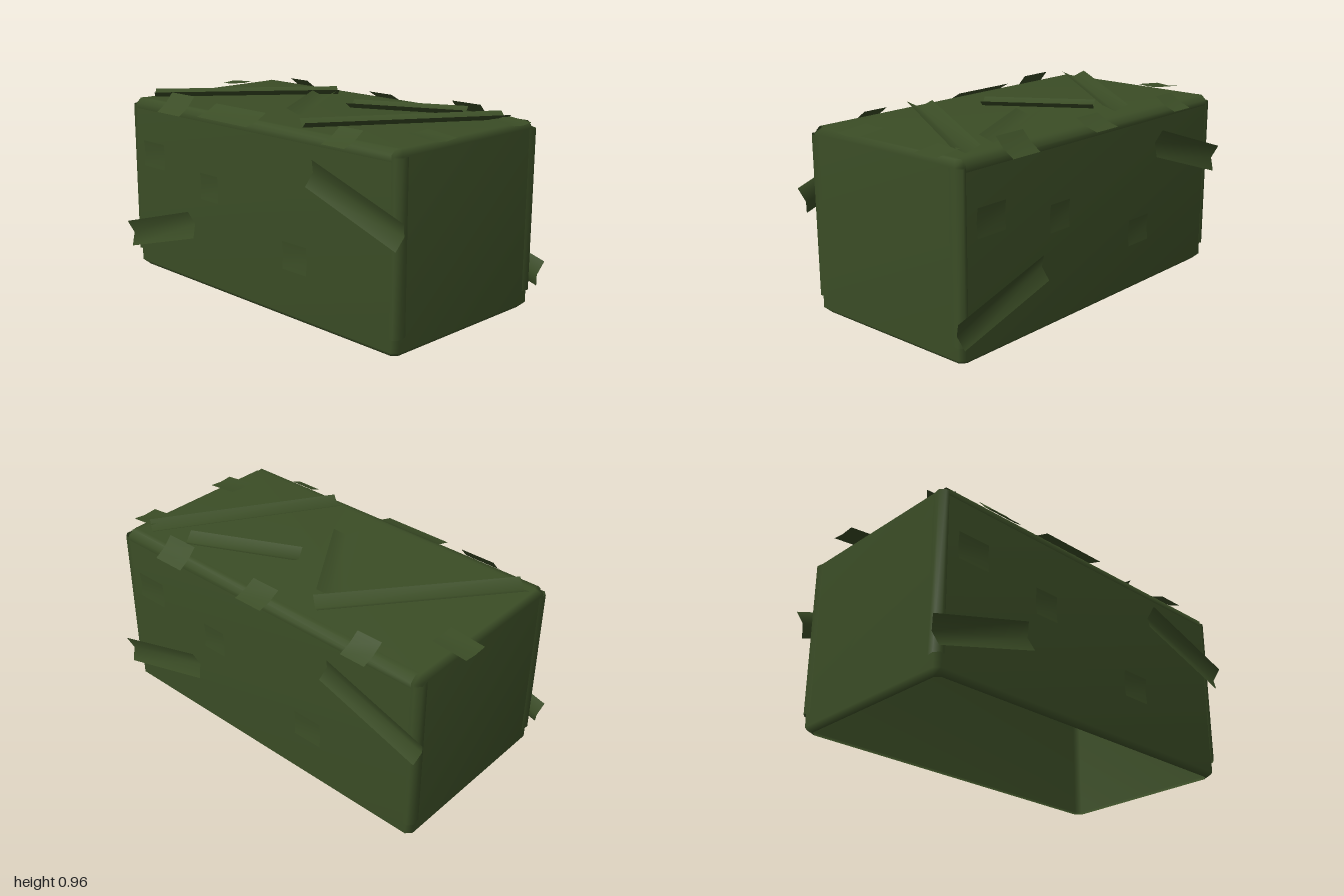
import * as THREE from 'three';

export function createModel() {
  const model = new THREE.Group();
  const leafGreen = new THREE.MeshStandardMaterial({ color: 0x3b4d26, side: THREE.DoubleSide });
  leafGreen.name = 'leafGreen';

  const add = (name, geometry) => {
    const mesh = new THREE.Mesh(geometry, leafGreen);
    mesh.name = name;
    model.add(mesh);
    return mesh;
  };

  // Smooth surface through cross-sections of equal length
  const loft = (rows, closed) => {
    const n = rows[0].length, index = [];
    for (let r = 0; r < rows.length - 1; r++) {
      for (let i = 0; i < (closed ? n : n - 1); i++) {
        const a = r * n + i, b = r * n + (i + 1) % n;
        index.push(a, b, b + n, a, b + n, a + n);
      }
    }
    if (closed) { // lid on the last row
      const s = (rows.length - 1) * n;
      for (let i = 1; i < n - 1; i++) index.push(s, s + i, s + i + 1);
    }
    const g = new THREE.BufferGeometry();
    g.setAttribute('position', new THREE.Float32BufferAttribute(rows.flat(2), 3));
    g.setIndex(index);
    g.computeVertexNormals();
    return g;
  };

  // Bevelled shell, open underneath
  const ring = (y, inset) => {
    const x = 0.935 - inset, z = 0.48 - inset, c = 0.025;
    return [[x, z - c], [x, c - z], [x - c, -z], [c - x, -z],
      [-x, c - z], [-x, z - c], [c - x, z], [x - c, z]].map(([px, pz]) => [px, y, pz]);
  };
  add('shell', loft([ring(0, 0.027), ring(0.027, 0), ring(0.883, 0), ring(0.91, 0.027)], true));

  // Strips wrapped round the upright corners
  for (const sx of [-1, 1]) for (const sz of [-1, 1]) {
    const profile = [[0.938, 0.42], [0.944, 0.462], [0.922, 0.487], [0.9, 0.483]];
    if (sx * sz > 0) profile.reverse();
    add('cornerStrip', loft([0.09, 0.88].map((y) => profile.map(([x, z]) => [sx * x, y, sz * z])), false));
  }

  // Strips along the front and back top edges
  for (const s of [-1, 1]) {
    const profile = [[0.912, 0.43], [0.913, 0.458], [0.888, 0.485], [0.86, 0.482]];
    add('topEdgeStrip', loft([-0.9 * s, 0.9 * s].map((x) => profile.map(([y, z]) => [x, y, s * z])), false));
  }

  // Sheet folded to a shallow trough; "along" is its length, "normal" its facing
  const sheet = (name, length, width, fold, position, along, normal) => {
    const g = new THREE.PlaneGeometry(length, width, 1, 2);
    const p = g.attributes.position;
    for (let i = 0; i < p.count; i++) p.setZ(i, fold * Math.abs(p.getY(i)) / (width / 2));
    g.computeVertexNormals();
    const x = new THREE.Vector3(...along).normalize();
    const z = new THREE.Vector3(...normal).normalize();
    const y = z.clone().cross(x);
    g.applyMatrix4(new THREE.Matrix4().makeBasis(x, y, z).setPosition(...position));
    add(name, g);
  };

  // Long leaves on the top
  for (const [x, z, dx, dz, length] of [
    [-0.565, 0.01, 0.61, -0.76, 0.97], [-0.09, -0.015, 0.31, 0.47, 0.56],
    [0.345, -0.235, 0.52, -0.25, 0.58], [0.56, 0.01, 0.51, -0.82, 0.97],
  ]) sheet('topLeaf', length, 0.128, 0.032, [x, 0.913, z], [dx, 0, dz], [0, 1, 0]);

  // Leaves and patches on the front, repeated half a turn round on the back
  for (const s of [1, -1]) {
    for (const [x, y, dx, dy] of [[-0.7, 0.245, 0.55, 0.16], [0.71, 0.65, 0.54, -0.18]]) {
      sheet('sideLeaf', 0.57, 0.137, 0.028, [s * x, y, s * 0.487], [s * dx, dy, 0], [0, 0, s]);
    }
    for (const [x, y, w, h] of [
      [-0.755, 0.63, 0.175, 0.135], [-0.302, 0.535, 0.135, 0.135], [0.315, 0.315, 0.16, 0.135],
    ]) sheet('sidePatch', w, h, 0.006, [s * x, y, s * 0.484], [s, 0, 0], [0, 0, s]);
  }

  // Drooping patches along the front and back top edges: x, side, width, tilt
  for (const [x, s, w, tilt] of [
    [-0.58, 1, 0.185, 0.75], [-0.147, 1, 0.37, 0.4], [0.6, 1, 0.14, 0.5],
    [-0.615, -1, 0.135, 0.5], [0.01, -1, 0.16, 0.4], [0.565, -1, 0.175, 0.7],
  ]) {
    sheet('edgePatch', w, 0.132, 0.008, [x, 0.911, s * 0.464],
      [s, 0, 0], [0, Math.cos(tilt), s * Math.sin(tilt)]);
  }

  // Patches overhanging the ends: x, z, length, width
  for (const [x, z, l, w] of [[-0.91, -0.175, 0.18, 0.135], [0.9, -0.32, 0.14, 0.135], [0.87, 0.195, 0.165, 0.135]]) {
    const s = Math.sign(x);
    sheet('endPatch', l, w, 0.006, [x, 0.922, z], [s, -0.1, 0], [0.1 * s, 1, 0]);
  }

  return model;
}
